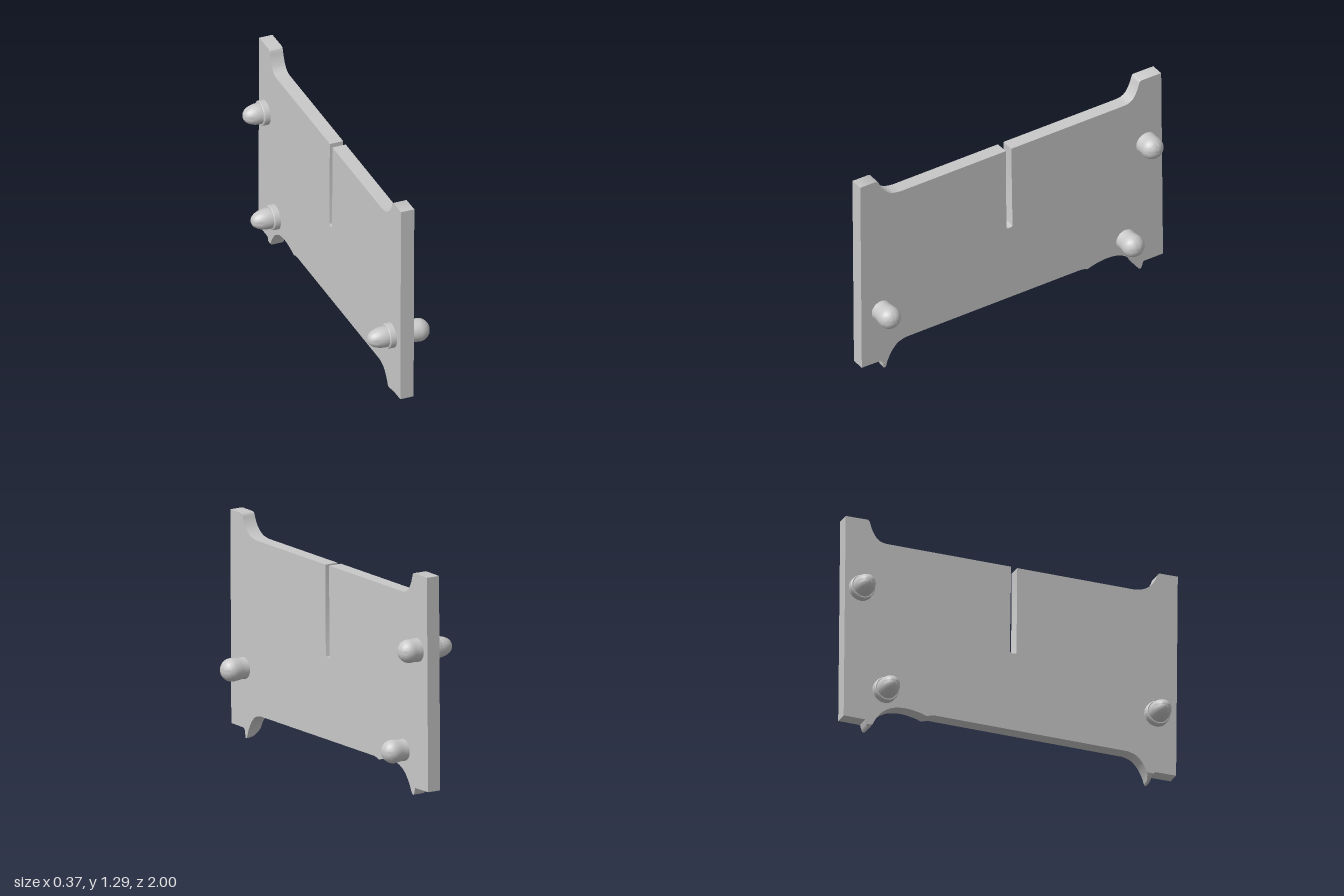
import * as THREE from 'three';
import { toCreasedNormals } from 'three/addons/utils/BufferGeometryUtils.js';

const HALF = 0.04; // half the plate's thickness

// Slotted plate with flared corners and small hooked feet
function plateGeometry() {
  const s = new THREE.Shape();
  const v = (pts) => pts.map(([a, b]) => new THREE.Vector2(a, b));
  s.moveTo(-0.99, 0.055);
  s.lineTo(-0.866, 0.055);
  s.splineThru(v([[-0.853, 0.04], [-0.847, 0.005], [-0.838, 0], [-0.83, 0.008],
    [-0.818, 0.045], [-0.79, 0.097], [-0.75, 0.137], [-0.7, 0.153]]));
  s.lineTo(0.45, 0.167);
  s.splineThru(v([[0.475, 0.163], [0.5, 0.156], [0.54, 0.168], [0.62, 0.18], [0.7, 0.17],
    [0.76, 0.137], [0.8, 0.09], [0.825, 0.045], [0.84, 0.028], [0.853, 0.033], [0.865, 0.07]]));
  s.lineTo(0.995, 0.072);
  s.lineTo(0.983, 1.29);
  s.lineTo(0.852, 1.29);
  s.splineThru(v([[0.84, 1.28], [0.825, 1.235], [0.8, 1.19], [0.77, 1.168], [0.735, 1.162]]));
  s.lineTo(-0.005, 1.155);
  // Narrow slot with a rounded bottom
  s.lineTo(0.003, 0.64);
  s.quadraticCurveTo(0.002, 0.628, -0.01, 0.628);
  s.lineTo(-0.025, 0.628);
  s.quadraticCurveTo(-0.037, 0.628, -0.037, 0.64);
  s.lineTo(-0.041, 1.153);
  s.lineTo(-0.735, 1.146);
  s.splineThru(v([[-0.79, 1.156], [-0.835, 1.185], [-0.865, 1.225], [-0.88, 1.26], [-0.892, 1.27]]));
  s.lineTo(-1, 1.27);
  s.closePath();

  const geo = new THREE.ExtrudeGeometry(s, { depth: HALF * 2, steps: 6, bevelEnabled: false, curveSegments: 4 });
  geo.translate(0, 0, -HALF);
  geo.rotateY(Math.PI / 2);
  // Round the feet off toward the right face
  const p = geo.attributes.position;
  for (let i = 0; i < p.count; i++) {
    const t = (HALF - p.getX(i)) / (HALF * 2);
    p.setY(i, Math.max(p.getY(i), 0.045 * t ** 2.5));
  }
  return toCreasedNormals(geo, 0.6);
}

// Turned part with its axis along x; dir is the side it points to
function turned(points, dir) {
  const geo = new THREE.LatheGeometry(points.map(([r, h]) => new THREE.Vector2(r, h)), 32);
  geo.rotateZ(-dir * Math.PI / 2);
  return toCreasedNormals(geo, 0.7);
}

// Elliptic dome profile from radius r at height h0 to the tip at h1
function dome(r, h0, h1, power = 1) {
  const pts = [];
  for (let i = 0; i <= 10; i++) {
    const a = (i / 10) * Math.PI / 2;
    pts.push([i === 10 ? 0 : r * Math.cos(a) ** power, h0 + (h1 - h0) * Math.sin(a)]);
  }
  return pts;
}

export function createModel() {
  const group = new THREE.Group();
  const grey = new THREE.MeshStandardMaterial({ color: 0xc8c8c8 });
  grey.name = 'light grey';
  const add = (name, geo, y = 0, z = 0) => {
    const mesh = new THREE.Mesh(geo, grey);
    mesh.name = name;
    mesh.position.set(0, y, z);
    group.add(mesh);
  };

  add('plate', plateGeometry());

  // Pegs: knob tip, pointed tip, neck radius, position
  const pegs = [
    { y: 0.395, z: 0.863, knob: 0.186, tip: 0.186, neck: 0.06, dy: 0.01, dz: 0.008 },
    { y: 0.86, z: -0.885, knob: 0.16, tip: 0.176, neck: 0.065, dy: 0, dz: -0.008 },
    { y: 0.263, z: -0.748, knob: 0.178, tip: 0.188, neck: 0.06, dy: 0, dz: -0.003 },
  ];
  for (const q of pegs) {
    // Round knob on a slightly waisted neck
    add('knob', turned([[q.neck + 0.002, 0.03], [q.neck + 0.001, 0.05], [q.neck, 0.07],
      [(q.neck + 0.065) / 2, 0.085], ...dome(0.066, q.knob - 0.066, q.knob)], 1), q.y, q.z);
    // Collar and pointed cap on the other face
    const y = q.y + q.dy, z = q.z + q.dz;
    add('collar', turned([[0.072, 0.03], [0.071, 0.072], [0.066, 0.077], [0, 0.077]], -1), y, z);
    add('pointedCap', turned([[0.06, 0.07], ...dome(0.06, 0.085, q.tip, 0.9)], -1), y, z);
  }
  return group;
}
